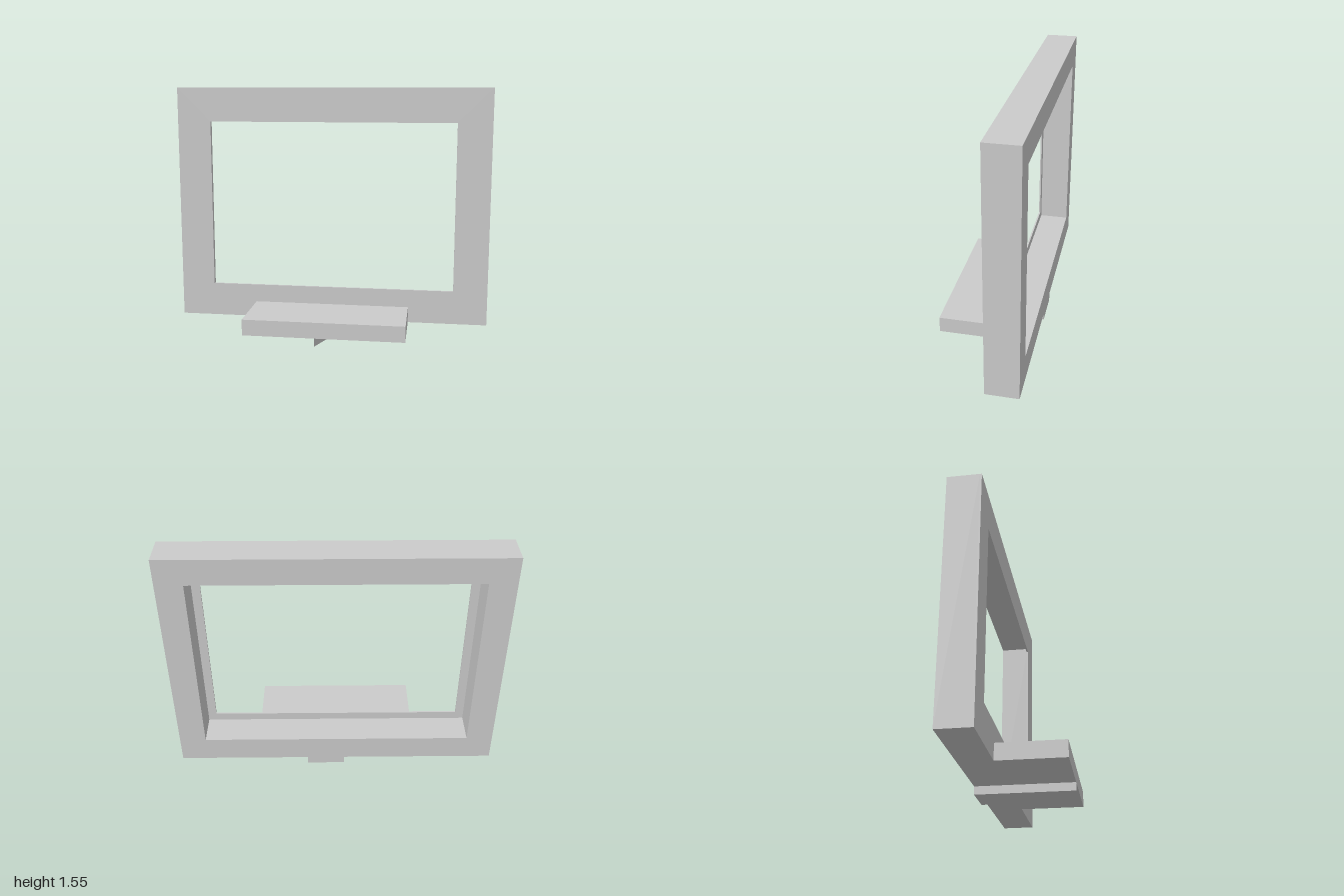
import * as THREE from 'three';

const material = new THREE.MeshStandardMaterial({ color: 0xcccccc, flatShading: true });

// Rectangular ring of even margin, extruded along z
function ring(name, margin, z0, z1) {
  const [w, y0, y1] = [1, 0.05, 1.55];
  const shape = new THREE.Shape([
    new THREE.Vector2(-w, y0), new THREE.Vector2(w, y0),
    new THREE.Vector2(w, y1), new THREE.Vector2(-w, y1),
  ]);
  const [iw, i0, i1] = [w - margin, y0 + margin, y1 - margin];
  shape.holes.push(new THREE.Path([
    new THREE.Vector2(-iw, i0), new THREE.Vector2(-iw, i1),
    new THREE.Vector2(iw, i1), new THREE.Vector2(iw, i0),
  ]));
  const geometry = new THREE.ExtrudeGeometry(shape, { depth: z1 - z0, bevelEnabled: false });
  geometry.translate(0, 0, z0);
  const mesh = new THREE.Mesh(geometry, material);
  mesh.name = name;
  return mesh;
}

export function createModel() {
  const model = new THREE.Group();
  model.name = 'framedStand';

  // Deep frame with a thin front lip that narrows the opening
  const frame = new THREE.Group();
  frame.name = 'frame';
  frame.add(ring('frameBody', 0.163, -0.3, -0.11), ring('frontLip', 0.215, -0.11, -0.1));
  model.add(frame);

  // Shelf in front of the bottom rail
  const shelf = new THREE.Mesh(new THREE.BoxGeometry(1, 0.1, 0.4), material);
  shelf.name = 'shelf';
  shelf.position.set(0, 0.1, 0.1);
  model.add(shelf);

  // Triangular wedge foot under frame and shelf (plan drawn as x, -z)
  const plan = new THREE.Shape([
    new THREE.Vector2(-0.05, -0.3),
    new THREE.Vector2(0.185, 0.3),
    new THREE.Vector2(-0.05, 0.3),
  ]);
  const footGeometry = new THREE.ExtrudeGeometry(plan, { depth: 0.05, bevelEnabled: false });
  footGeometry.rotateX(-Math.PI / 2);
  const foot = new THREE.Mesh(footGeometry, material);
  foot.name = 'wedgeFoot';
  model.add(foot);

  return model;
}
